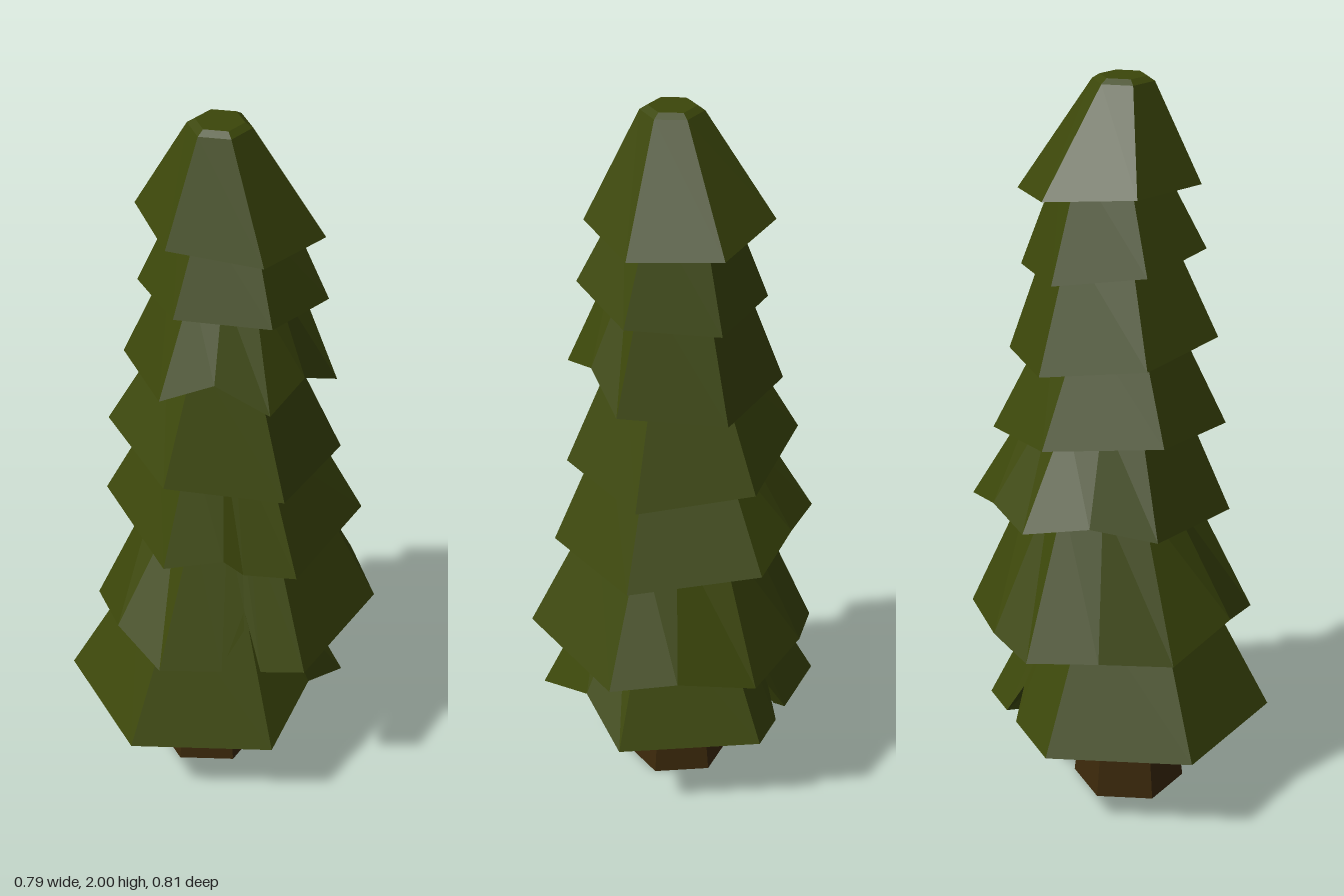
import * as THREE from 'three';

const needles = new THREE.MeshStandardMaterial({ color: 0x3c470a, flatShading: true });
needles.name = 'dark green needles';
const bark = new THREE.MeshStandardMaterial({ color: 0x3c290b, flatShading: true });
bark.name = 'brown bark';

// Tiers from bottom to top: hem centre, hem radius, tilt of the hem along x and z,
// top centre and radius, turn about y, and extra hem points [side position, rise, push out]
const tiers = [
  { c: [-0.055, 0.248, -0.015], r: 0.39, tilt: [0, 0], top: [-0.045, 0.62, -0.005], rt: 0.2, turn: 0,
    extra: [[0.55, 0.085, -0.01], [2.3, 0, 0], [2.37, 0.085, -0.04], [2.47, 0, 0]] },
  { c: [0.025, 0.513, 0.012], r: 0.39, tilt: [0, 0.04], top: [0.025, 0.9, 0.005], rt: 0.21, turn: 0,
    extra: [[1.46, 0.04, 0.03], [2.6, 0.02, 0.03], [3.5, 0.02, 0.03], [4.55, 0.05, 0.04],
      [5.43, 0, 0], [5.6, 0.16, -0.07], [5.7, 0, 0]] },
  { c: [0.035, 0.835, -0.02], r: 0.35, tilt: [-0.02, -0.1], top: [0.015, 1.15, -0.01], rt: 0.19, turn: 0,
    extra: [[2.5, 0.03, 0.01], [3.5, 0.03, 0.01], [5.45, 0.04, 0], [5.6, 0, 0]] },
  { c: [0.007, 1.065, -0.02], r: 0.31, tilt: [-0.11, -0.1], top: [0, 1.4, -0.01], rt: 0.145, turn: 0.03, extra: [] },
  { c: [0.01, 1.292, 0], r: 0.28, tilt: [-0.11, 0.06], top: [0.015, 1.6, 0], rt: 0.155, turn: -0.12,
    extra: [[0.5, 0.06, 0], [5.5, 0.07, 0]] },
  { c: [0.014, 1.525, 0.008], r: 0.243, tilt: [-0.11, 0.08], top: [0.015, 1.79, 0], rt: 0.125, turn: -0.08, extra: [] },
  { c: [0.015, 1.715, -0.01], r: 0.24, tilt: [-0.1, -0.04], top: [-0.02, 1.988, 0.005], rt: 0.08, turn: -0.14, extra: [] },
];

// Point on a hexagon outline; s counts corners, starting at the front and going towards +x
function onHexagon(s, r, turn) {
  const k = Math.floor(s);
  const corner = (i) => new THREE.Vector2(Math.sin(turn + i * Math.PI / 3), Math.cos(turn + i * Math.PI / 3));
  return corner(k).lerp(corner(k + 1), s - k).multiplyScalar(r);
}

// Skirt with a hollow underside: crown, outer slope, hem rim, inner wall and ceiling
function skirtGeometry(t) {
  const stops = [0, 1, 2, 3, 4, 5].map((s) => [s, 0, 0]).concat(t.extra).sort((a, b) => a[0] - b[0]);
  const tilted = (p, dy) => [t.c[0] + p.x, t.c[1] + dy + p.x * t.tilt[0] + p.y * t.tilt[1], t.c[2] + p.y];
  const hem = (inset) => stops.map(([s, rise, push]) => {
    const p = onHexagon(s, t.r - inset, t.turn);
    return tilted(p.setLength(p.length() + push), rise);
  });
  const ceiling = (r) => stops.map(([s]) => tilted(onHexagon(s, r, t.turn), 0.085));
  const crown = (r, dy) => stops.map(([s]) => {
    const p = onHexagon(s, r, t.turn);
    return [t.top[0] + p.x, t.top[1] + dy, t.top[2] + p.y];
  });
  const rings = [crown(0, 0.012), crown(t.rt * 0.76, 0.012), crown(t.rt, 0),
    hem(0), hem(0.04), ceiling(t.r - 0.085), ceiling(0)];
  const n = stops.length;
  const index = [];
  for (let j = 0; j < rings.length - 1; j++) {
    for (let i = 0; i < n; i++) {
      const a = j * n + i, b = j * n + (i + 1) % n;
      if (j < rings.length - 2) index.push(a, a + n, b + n);
      if (j > 0) index.push(a, b + n, b);
    }
  }
  const g = new THREE.BufferGeometry();
  g.setAttribute('position', new THREE.Float32BufferAttribute(rings.flat(2), 3));
  g.setIndex(index);
  const flat = g.toNonIndexed();
  flat.computeVertexNormals();
  return flat;
}

export function createModel() {
  const tree = new THREE.Group();
  tree.name = 'pineTree';

  // Tapered six-sided trunk
  const trunk = new THREE.Mesh(new THREE.CylinderGeometry(0.1, 0.155, 0.45, 6), bark);
  trunk.name = 'trunk';
  trunk.position.set(-0.053, 0.225, -0.012);
  tree.add(trunk);

  // Stacked skirts of needles
  tiers.forEach((t, i) => {
    const skirt = new THREE.Mesh(skirtGeometry(t), needles);
    skirt.name = `branchTier${i + 1}`;
    tree.add(skirt);
  });
  return tree;
}
